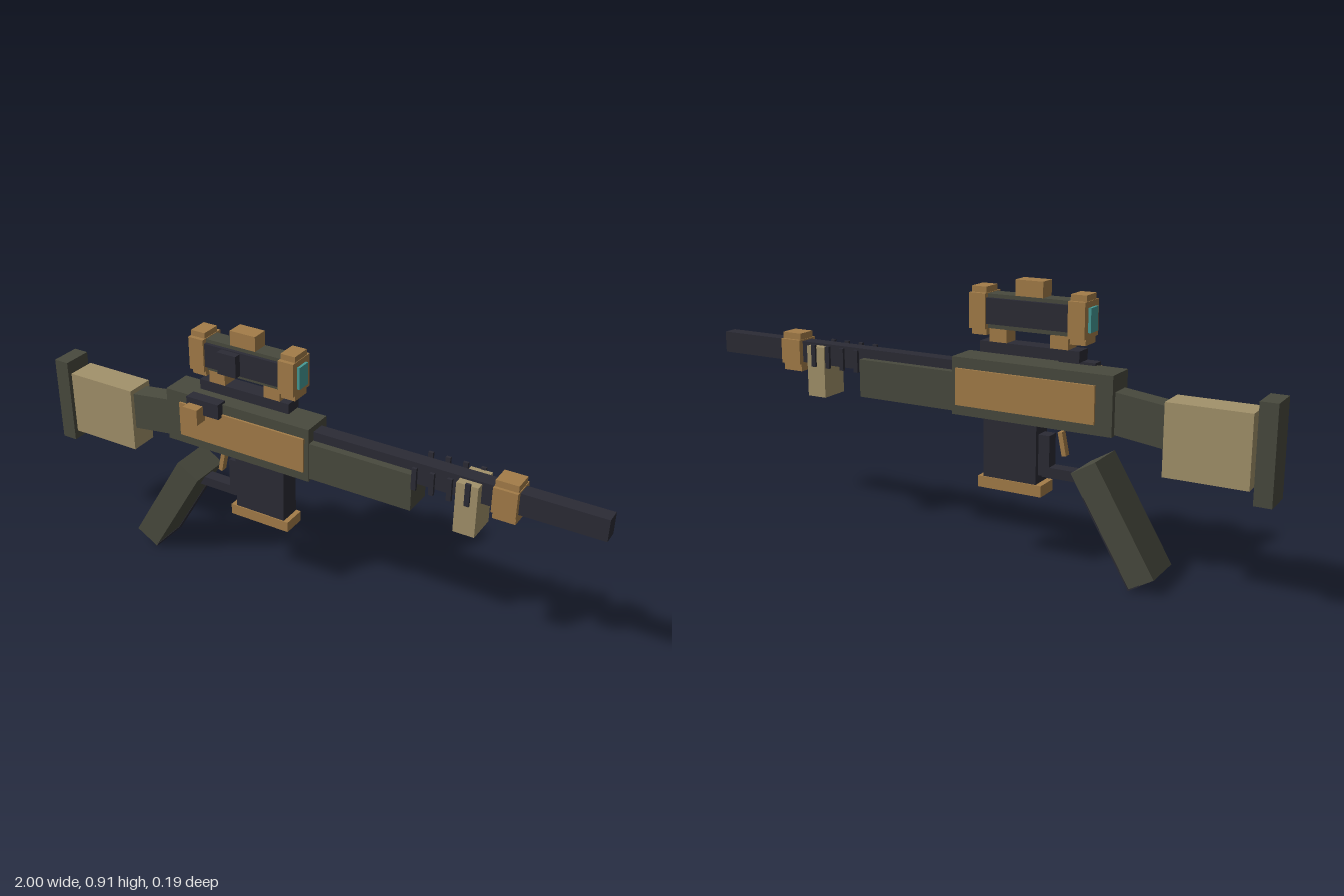
import * as THREE from 'three';

const mat = (name, color) => {
  const m = new THREE.MeshStandardMaterial({ color });
  m.name = name;
  return m;
};

export function createModel() {
  const olive = mat('olive', 0x494a3e);
  const tan = mat('tan', 0xa3926b);
  const copper = mat('copper', 0xa47d49);
  const dark = mat('dark metal', 0x2b2b35);
  const teal = mat('teal glass', 0x469a96);

  const model = new THREE.Group();
  model.name = 'blockyRifle';
  const MID = -0.02; // centre plane of the body in z

  // box between two limits on each axis
  const box = (parent, name, m, [x0, x1], [y0, y1], [z0, z1]) => {
    const mesh = new THREE.Mesh(new THREE.BoxGeometry(x1 - x0, y1 - y0, z1 - z0), m);
    mesh.position.set((x0 + x1) / 2, (y0 + y1) / 2, (z0 + z1) / 2);
    mesh.name = name;
    parent.add(mesh);
    return mesh;
  };
  // z limits for a given half width around the centre plane
  const wide = (h) => [MID - h, MID + h];
  const group = (name) => {
    const g = new THREE.Group();
    g.name = name;
    model.add(g);
    return g;
  };
  // a wide box crossed with a tall one, giving stepped corners
  const steppedRing = (parent, name, x, wideY, wideH, tallY, tallH) => {
    box(parent, name + 'Wide', copper, x, wideY, wide(wideH));
    box(parent, name + 'Tall', copper, [x[0] + 0.002, x[1] - 0.002], tallY, wide(tallH));
  };

  // stock
  box(model, 'buttPlate', olive, [-1, -0.945], [0.33, 0.635], wide(0.053));
  box(model, 'stock', tan, [-0.932, -0.67], [0.37, 0.597], wide(0.051));
  const neck = box(model, 'stockNeck', olive, [-0.69, -0.49], [0.461, 0.591], wide(0.036));
  neck.rotation.z = 0.13;

  // receiver with side panels
  box(model, 'receiver', olive, [-0.51, 0.04], [0.467, 0.655], wide(0.055));
  for (const s of [-1, 1]) {
    const z = MID + s * 0.058;
    box(model, 'sidePanel', copper, [-0.455, 0.025], [0.5, 0.62], [z - 0.0045, z + 0.0045]);
  }

  // handguard, barrel and muzzle ring
  box(model, 'handguard', olive, [0.03, 0.4], [0.477, 0.604], wide(0.051));
  box(model, 'barrel', dark, [0.03, 1], [0.562, 0.635], wide(0.025));
  box(model, 'frontBlock', tan, [0.544, 0.615], [0.455, 0.628], wide(0.053));
  steppedRing(model, 'barrelRing', [0.655, 0.733], [0.555, 0.64], 0.043, [0.53, 0.662], 0.033);

  // thin upright pins on both sides of the barrel
  for (let i = 0; i < 4; i++) {
    const x = 0.402 + i * 0.058;
    for (const s of [-1, 1]) {
      const z = MID + s * 0.056;
      box(model, 'barrelPin', dark, [x, x + 0.016], [0.56, 0.635], [z - 0.005, z + 0.005]);
    }
  }

  // scope
  const scope = group('scope');
  box(scope, 'scopeRail', dark, [-0.388, -0.048], [0.675, 0.71], wide(0.03));
  box(scope, 'scopeCore', olive, [-0.4, -0.04], [0.752, 0.86], wide(0.03));
  box(scope, 'scopeSides', dark, [-0.4, -0.04], [0.767, 0.848], wide(0.042));
  for (const x of [-0.412, -0.075])
    steppedRing(scope, 'scopeEnd', [x, x + 0.056], [0.75, 0.862], 0.049, [0.73, 0.881], 0.035);
  for (const x of [-0.35, -0.141])
    box(scope, 'scopeMount', copper, [x, x + 0.06], [0.71, 0.77], wide(0.029));
  box(scope, 'topKnob', copper, [-0.264, -0.17], [0.855, 0.91], wide(0.029));
  box(scope, 'sideKnob', dark, [-0.29, -0.22], [0.77, 0.845], [0.015, 0.047]);
  for (const x of [-0.421, -0.0195])
    box(scope, 'lens', teal, [x, x + 0.0095], [0.768, 0.843], wide(0.025));

  // bolt handle
  box(model, 'bolt', dark, [-0.41, -0.285], [0.61, 0.663], [0.02, 0.06]);
  box(model, 'boltKnob', copper, [-0.4, -0.345], [0.588, 0.643], [0.05, 0.095]);

  // magazine, trigger and guard
  box(model, 'magazine', dark, [-0.252, -0.065], [0.265, 0.475], wide(0.038));
  box(model, 'magazineBase', copper, [-0.272, -0.048], [0.235, 0.272], wide(0.042));
  box(model, 'guardUpright', dark, [-0.29, -0.25], [0.3, 0.432], wide(0.022));
  box(model, 'guardBar', dark, [-0.45, -0.265], [0.297, 0.33], wide(0.022));
  const trigger = box(model, 'trigger', copper, [-0.335, -0.32], [0.37, 0.447], wide(0.012));
  trigger.rotation.z = -0.2;

  // slanted grip with dark edging
  const grip = group('grip');
  grip.position.set(-0.528, 0.197, MID);
  grip.rotation.z = -0.535;
  box(grip, 'gripBody', olive, [-0.0465, 0.0465], [-0.196, 0.196], [-0.074, 0.074]);
  box(grip, 'gripEdge', dark, [0.044, 0.0485], [-0.197, 0.115], [-0.075, -0.051]);
  box(grip, 'gripToe', dark, [0.044, 0.0485], [-0.197, -0.18], [-0.051, 0.074]);
  box(grip, 'gripSole', dark, [0.005, 0.0485], [-0.198, -0.194], [-0.075, 0.03]);

  return model;
}
